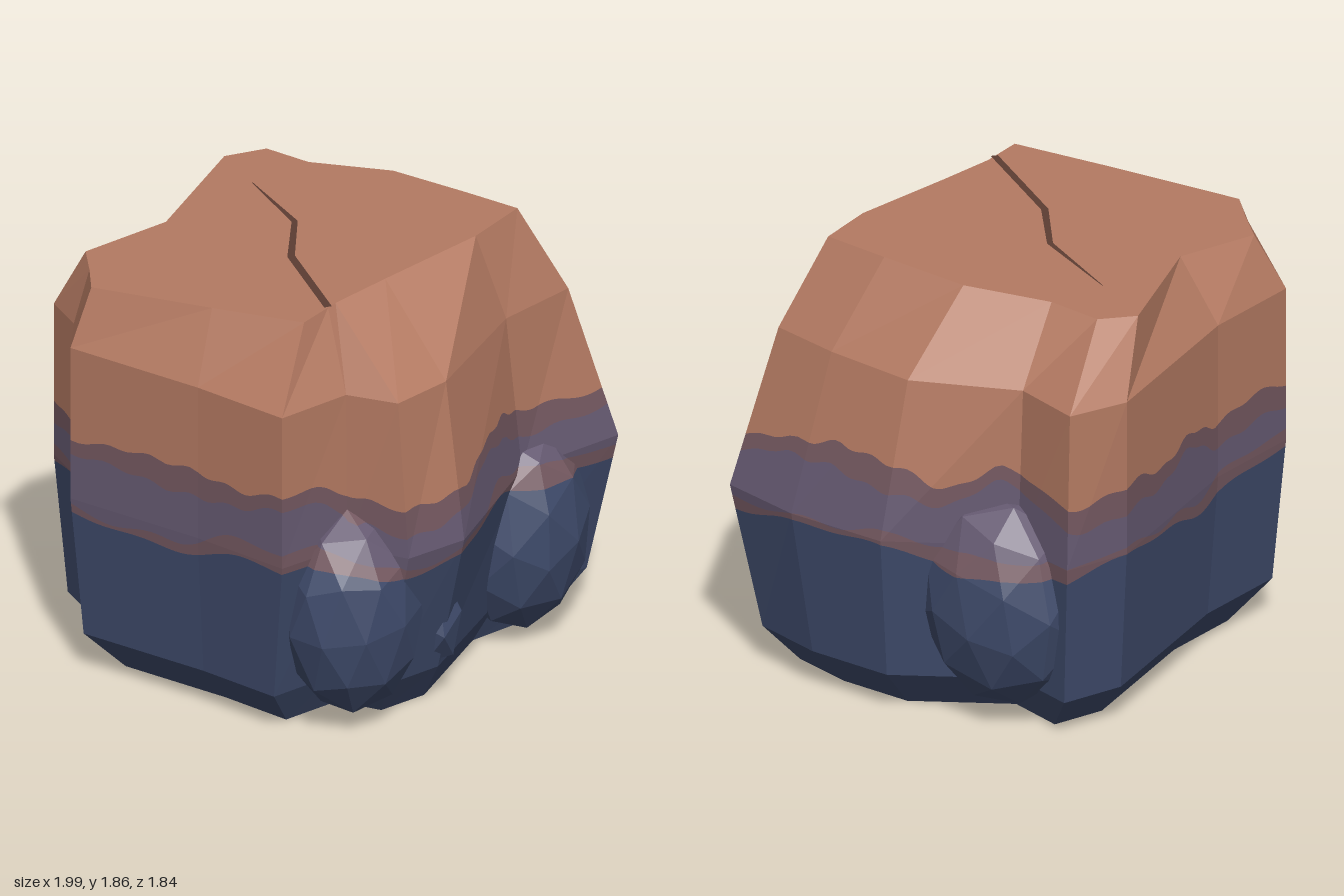
import * as THREE from 'three';

const mat = (name, color) => {
  const m = new THREE.MeshStandardMaterial({ color });
  m.name = name;
  return m;
};
const mauve = mat('mauve brown', 0x745860);
// Strata from the ground up; mauve appears on both sides of the purple
const materials = [
  mat('slate blue', 0x3e4a6a), mauve, mat('dusty purple', 0x665a72), mauve, mat('terracotta', 0xb47a62),
];
const crackMaterial = mat('crack brown', 0x5c3d33);

// Wavy strata heights around the rock (angle 0 is the front, rising towards +x)
const UPPER = [1.09, 1.11, 1.05, 1.02, 1.09, 1.14, 1.12, 1.04, 1.14, 1.06, 1.1, 1.05,
  1.1, 1.04, 1.08, 1.03, 1.07, 1.1, 1.1, 1.08, 1.12, 1.02, 1.0, 1.01];
function strata(p) {
  const a = Math.atan2(p.x, p.z);
  const t = ((a / (2 * Math.PI) + 1) % 1) * 24, i = Math.floor(t);
  const s = THREE.MathUtils.smoothstep(t - i, 0, 1);
  const top = THREE.MathUtils.lerp(UPPER[i], UPPER[(i + 1) % 24], s) + 0.01 * Math.sin(31 * a);
  const blue = 0.745 + 0.04 * Math.sin(5 * a + 1) + 0.014 * Math.sin(13 * a);
  const low = blue + 0.055 + 0.03 * Math.sin(4 * a) + 0.01 * Math.sin(17 * a);
  return [blue, low, top - 0.09 + 0.03 * Math.sin(6 * a + 2), top];
}

// Keep the part of a polygon above (sign 1) or below (sign -1) one stratum boundary
function clip(poly, level, sign) {
  const out = [];
  poly.forEach((p, i) => {
    const q = poly[(i + 1) % poly.length];
    const fp = sign * (p.y - strata(p)[level]), fq = sign * (q.y - strata(q)[level]);
    if (fp >= 0) out.push(p);
    if (fp * fq < 0) out.push(p.clone().lerp(q, fp / (fp - fq)));
  });
  return out;
}

// Turn triangles into a faceted mesh with one geometry group per stratum
function layeredMesh(name, triangles) {
  const layers = materials.map(() => []);
  const emit = (poly, layer) => {
    for (let i = 1; i + 1 < poly.length; i++) {
      for (const p of [poly[0], poly[i], poly[i + 1]]) layers[layer].push(p.x, p.y, p.z);
    }
  };
  const split = (tri) => {
    const heights = tri.map((p) => p.y);
    if (Math.max(...heights) < 0.6) return emit(tri, 0);
    if (Math.min(...heights) > 1.22) return emit(tri, 4);
    // Halve the longest edge until the piece is small enough to cut along the waves
    const lengths = tri.map((p, i) => p.distanceTo(tri[(i + 1) % 3]));
    const longest = Math.max(...lengths);
    if (longest > 0.05) {
      const k = lengths.indexOf(longest);
      const a = tri[k], b = tri[(k + 1) % 3], c = tri[(k + 2) % 3];
      const m = a.clone().lerp(b, 0.5);
      split([a, m, c]);
      return split([m, b, c]);
    }
    let rest = tri;
    for (let k = 0; k < 4 && rest.length > 2; k++) {
      emit(clip(rest, k, -1), k);
      rest = clip(rest, k, 1);
    }
    emit(rest, 4);
  };
  triangles.forEach(split);
  const geometry = new THREE.BufferGeometry();
  let start = 0;
  layers.forEach((layer, k) => {
    geometry.addGroup(start, layer.length / 3, k);
    start += layer.length / 3;
  });
  geometry.setAttribute('position', new THREE.Float32BufferAttribute(layers.flat(), 3));
  geometry.computeVertexNormals();
  const mesh = new THREE.Mesh(geometry, materials);
  mesh.name = name;
  return mesh;
}

const topHeight = (x, z) => 1.86 + 0.045 * (x - 0.54) + 0.065 * (z - 0.53);

// Rock corners from the front right, counterclockwise: waist x, z and top x, z
const CORNERS = [
  [0.85, 0.81, 0.54, 0.53], [0.96, 0.45, 0.56, 0.25], [1, 0, 0.58, -0.14], [0.74, -0.5, 0.48, -0.5],
  [0.85, -0.8, 0.5, -0.73], [0.58, -0.92, 0.36, -0.84], [-0.25, -0.85, -0.25, -0.67], [-0.7, -0.9, -0.63, -0.79],
  [-0.8, -0.72, -0.76, -0.67], [-0.99, -0.59, -0.89, -0.56], [-0.97, 0.05, -0.81, 0], [-0.99, 0.5, -0.74, 0.42],
  [-0.66, 0.58, -0.58, 0.42], [-0.6, 0.85, -0.53, 0.42], [-0.32, 0.92, -0.25, 0.46], [0.35, 0.7, 0.25, 0.54],
];

// Cross-sections: the waist narrows to the base, and leans in towards the top at front and +x
const scaled = (y, s, front) => ([x, z]) => new THREE.Vector3(x * s, y, z * (z > 0 ? front : s));
const SECTIONS = [
  scaled(0, 0.79, 0.72),
  scaled(0.18, 0.95, 0.84),
  scaled(0.8, 1, 1),
  ([x, z, tx, tz]) => {
    const lean = Math.max(0, 0.08 + 0.25 * (x + z));
    return new THREE.Vector3(x, 1.48, z).lerp(new THREE.Vector3(tx, 1.48, tz), lean);
  },
  ([, , tx, tz]) => new THREE.Vector3(tx, topHeight(tx, tz), tz),
];

function rockTriangles() {
  const rings = SECTIONS.map((section) => CORNERS.map(section));
  const tris = [];
  for (let r = 0; r + 1 < rings.length; r++) {
    const lo = rings[r], hi = rings[r + 1];
    lo.forEach((p, i) => {
      const j = (i + 1) % lo.length;
      tris.push([p, lo[j], hi[j]], [p, hi[j], hi[i]]);
    });
  }
  // Flat underside and sloping top
  for (const [ring, up] of [[rings[0], -1], [rings[rings.length - 1], 1]]) {
    const outline = ring.map((p) => new THREE.Vector2(p.x, -p.z));
    for (const face of THREE.ShapeUtils.triangulateShape(outline, [])) {
      const area = THREE.ShapeUtils.area(face.map((i) => outline[i]));
      const corners = face.map((i) => ring[i]);
      tris.push(area * up > 0 ? corners : corners.reverse());
    }
  }
  return tris;
}

// Faceted boulder stretched to the given half sizes
function boulder(name, center, half, turn, detail = 1) {
  const g = new THREE.IcosahedronGeometry(1, detail);
  g.rotateX(turn).rotateY(turn * 1.7).scale(...half).translate(...center);
  const pos = g.attributes.position, tris = [];
  const at = (i) => new THREE.Vector3().fromBufferAttribute(pos, i);
  for (let i = 0; i < pos.count; i += 3) tris.push([at(i), at(i + 1), at(i + 2)]);
  return layeredMesh(name, tris);
}

// Thin tapering crack lying on the top face
function crack() {
  const path = [[-0.58, 0.42, 0.016], [-0.27, -0.01, 0.016], [0, -0.2, 0.013], [0.21, -0.58, 0.002]];
  const positions = [], index = [];
  path.forEach(([x, z, w], i) => {
    for (const s of [-1, 1]) {
      const px = x + s * w * 0.8, pz = z + s * w * 0.6;
      positions.push(px, topHeight(px, pz) + 0.003, pz);
    }
    if (i) index.push(2 * i - 2, 2 * i - 1, 2 * i, 2 * i - 1, 2 * i + 1, 2 * i);
  });
  const g = new THREE.BufferGeometry();
  g.setAttribute('position', new THREE.Float32BufferAttribute(positions, 3));
  g.setIndex(index);
  g.computeVertexNormals();
  const mesh = new THREE.Mesh(g, crackMaterial);
  mesh.name = 'topCrack';
  return mesh;
}

export function createModel() {
  const group = new THREE.Group();
  group.name = 'layeredRock';
  group.add(
    layeredMesh('rockBody', rockTriangles()),
    boulder('frontLeftBoulder', [0.45, 0.485, 0.6], [0.33, 0.45, 0.28], 0.4),
    boulder('frontRightBoulder', [-0.62, 0.51, 0.58], [0.32, 0.46, 0.28], 0.9),
    boulder('sideBoulder', [0.72, 0.54, -0.41], [0.27, 0.465, 0.37], 0.6),
    boulder('smallStone', [-0.28, 0.37, 0.74], [0.12, 0.2, 0.11], 0.3, 0),
    crack(),
  );
  return group;
}
